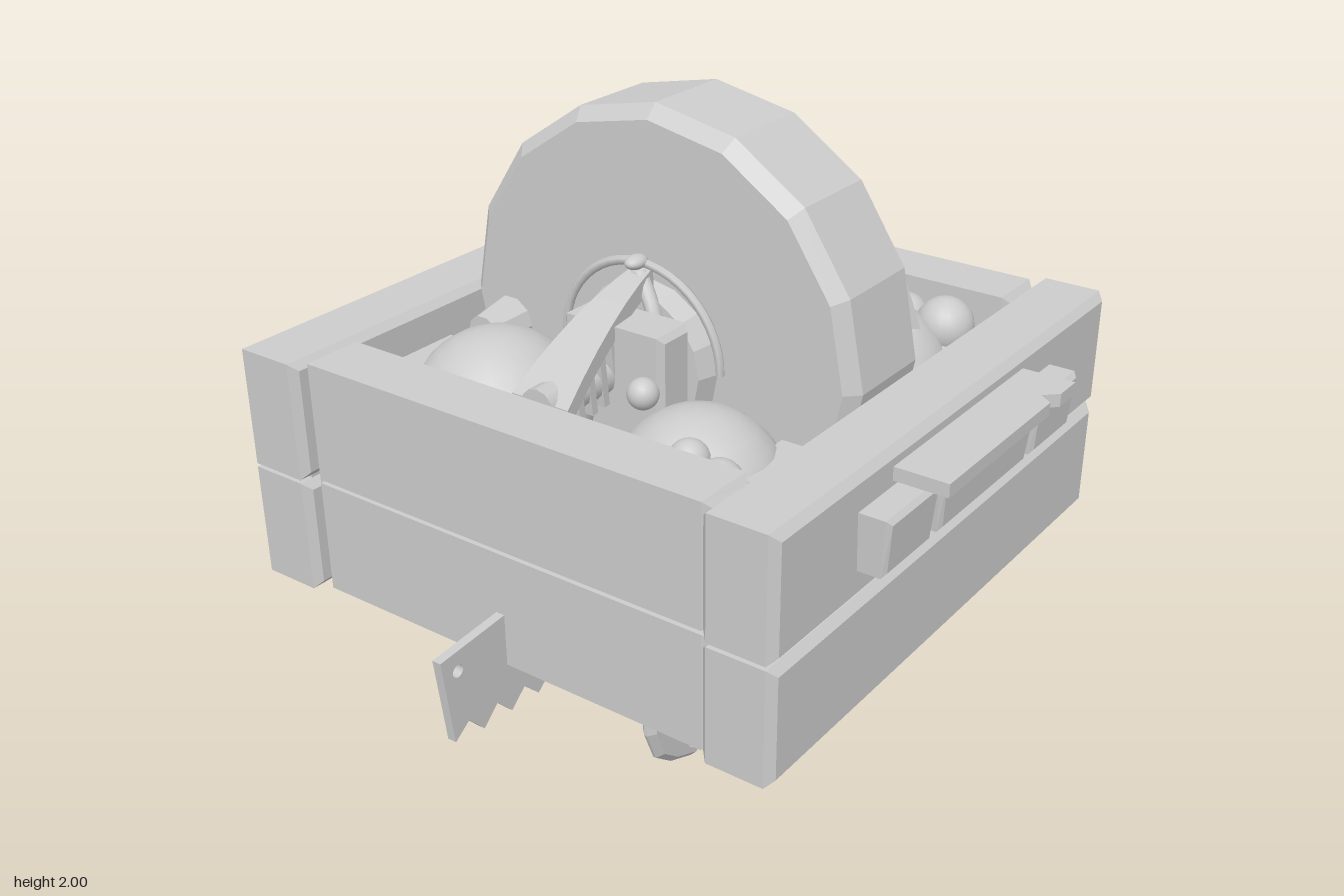
import * as THREE from 'three';

const mat = new THREE.MeshStandardMaterial({ color: 0xcccccc });
const flat = new THREE.MeshStandardMaterial({ color: 0xcccccc, flatShading: true });
const thin = new THREE.MeshStandardMaterial({ color: 0xcccccc, flatShading: true, side: THREE.DoubleSide });
const V = (x, y, z) => new THREE.Vector3(x, y, z);
const MID = -0.03; // z of the wheel and everything in line with it

function add(parent, name, geo, pos = [0, 0, 0], rot = [0, 0, 0], material = mat) {
  const m = new THREE.Mesh(geo, material);
  m.name = name;
  m.position.set(...pos);
  m.rotation.set(...rot);
  parent.add(m);
  return m;
}

function outline(points) {
  return new THREE.Shape(points.map(p => new THREE.Vector2(...p)));
}

// Box with chamfered edges, centred on the origin
function chamferBox(w, h, d, b) {
  const x = w / 2 - b, y = h / 2 - b;
  return new THREE.ExtrudeGeometry(outline([[-x, -y], [x, -y], [x, y], [-x, y]]),
    { depth: d - 2 * b, bevelSize: b, bevelThickness: b, bevelSegments: 1 }).translate(0, 0, b - d / 2);
}

function plate(shape, depth, bevel = 0) {
  return new THREE.ExtrudeGeometry(shape, {
    depth: depth - 2 * bevel, bevelEnabled: bevel > 0, bevelSize: bevel,
    bevelThickness: bevel, bevelOffset: -bevel, bevelSegments: 1, curveSegments: 12
  }).translate(0, 0, bevel - depth / 2);
}

function blob(parent, name, pos, rx, ry = rx, rz = rx) {
  return add(parent, name, new THREE.SphereGeometry(1, 20, 14).scale(rx, ry, rz), pos);
}

function tube(points, r, n = 20) {
  return new THREE.TubeGeometry(new THREE.CatmullRomCurve3(points.map(p => V(...p))), n, r, 10);
}

function buildCrate() {
  const g = new THREE.Group();
  g.name = 'crate';
  for (const [y, h] of [[0.915, 0.31], [1.24, 0.32]]) {
    add(g, 'frontPlank', chamferBox(1.6, h, 0.195, 0.02), [0, y, 0.672], [0, 0, 0], flat);
    add(g, 'backPlank', chamferBox(1.6, h, 0.2, 0.02), [0, y, -0.738], [0, 0, 0], flat);
    for (const s of [-1, 1])
      add(g, 'sidePlank', chamferBox(0.165, h, 1.22, 0.02), [s * 0.685, y, MID], [0, 0, 0], flat);
  }
  // Filling behind the gap between plank rows
  for (const z of [0.67, -0.735]) add(g, 'gapFill', new THREE.BoxGeometry(1.52, 0.06, 0.15), [0, 1.073, z]);
  for (const s of [-1, 1]) add(g, 'gapFill', new THREE.BoxGeometry(0.13, 0.06, 1.22), [s * 0.685, 1.073, MID]);
  add(g, 'floor', new THREE.PlaneGeometry(1.5, 1.5), [0, 0.765, MID], [Math.PI / 2, 0, 0]);

  // Three tapered grip blocks on the front and back
  for (const [z, turn] of [[0.765, 0], [-0.835, Math.PI]]) {
    for (const [x, w] of [[-0.365, 0.225], [0, 0.465], [0.36, 0.225]]) {
      const geo = chamferBox(w, 0.15, 0.12, 0.012);
      const p = geo.attributes.position;
      for (let i = 0; i < p.count; i++)
        if (p.getY(i) < 0) { p.setX(i, p.getX(i) * 0.94); p.setZ(i, p.getZ(i) * 0.82); }
      add(g, 'gripBlock', geo, [turn ? -x : x, 1.235, z + (turn ? -0.015 : 0.025)], [0, turn, 0], flat);
    }
  }
  // Notched ledge above the front grip
  const ledge = outline([[-0.33, 0.75], [0.31, 0.75], [0.31, 0.91], [0.23, 0.91], [0.195, 0.875], [0.17, 0.91], [-0.33, 0.91]]);
  add(g, 'ledge', plate(ledge, 0.035), [0, 1.342, 0], [Math.PI / 2, 0, 0], flat);
  // Straps inside the crate ends
  for (const x of [-0.36, 0.36]) for (const z of [0.51, -0.57])
    add(g, 'innerStrap', new THREE.BoxGeometry(0.22, 0.14, 0.17), [x, 1.22, z]);
  return g;
}

function buildWheel() {
  const g = new THREE.Group();
  g.name = 'grindingWheel';
  const profile = [[0, -0.16], [0.565, -0.16], [0.6, -0.125], [0.6, 0.125], [0.565, 0.16], [0, 0.16]];
  add(g, 'stone', new THREE.LatheGeometry(profile.map(p => new THREE.Vector2(...p)), 16),
    [-0.005, 1.4, MID], [0, 0, -Math.PI / 2], flat);
  add(g, 'axle', new THREE.CylinderGeometry(0.05, 0.05, 1.2, 12), [0, 1.38, MID], [0, 0, Math.PI / 2]);
  for (const s of [-1, 1]) {
    add(g, 'hub', new THREE.CylinderGeometry(0.19, 0.21, 0.06, 16), [s * 0.19, 1.36, MID], [0, 0, -s * Math.PI / 2], flat);
    add(g, 'hoop', new THREE.TorusGeometry(0.24, 0.012, 6, 24, Math.PI), [s * 0.2, 1.38, MID], [0, Math.PI / 2, 0]);
    add(g, 'bearingBlock', chamferBox(0.12, 0.22, 0.3, 0.015), [s * 0.31, 1.41 - (s > 0 ? 0.03 : 0), -0.03 - s * 0.04], [0, 0, 0], flat);
    blob(g, 'axleKnob', [s * 0.215, 1.625, MID], 0.035, 0.018, 0.025);
    // Curved brace, widening as it drops toward the crate wall
    const brace = new THREE.BoxGeometry(0.42, 0.05, 1, 6, 1, 1);
    const p = brace.attributes.position;
    for (let i = 0; i < p.count; i++) {
      const t = p.getX(i) / 0.42 + 0.5, u = s > 0 ? t : 1 - t;
      p.setXYZ(i, s * (0.18 + 0.41 * u), 1.58 - 0.1 * u - 0.11 * u * u + p.getY(i), MID + p.getZ(i) * (0.05 + 0.12 * u));
    }
    add(g, 'brace', brace, [0, 0, 0], [0, 0, 0], flat);
    // Two legs spreading from the knob
    for (const k of [-1, 1])
      add(g, 'braceLeg', tube([[s * 0.2, 1.59, MID], [s * 0.23, 1.52, MID + k * 0.06], [s * 0.25, 1.3, MID + k * 0.13]], 0.02, 8));
  }
  return g;
}

function buildCrank() {
  const g = new THREE.Group();
  g.name = 'crank';
  add(g, 'crankArm', tube([[0.56, 1.41, -0.03], [0.62, 1.42, -0.04], [0.635, 1.415, -0.12], [0.645, 1.41, -0.27],
    [0.68, 1.4, -0.345], [0.76, 1.4, -0.355]], 0.035, 28));
  const grip = [[0, 0], [0.034, 0], [0.045, 0.02], [0.045, 0.07], [0.036, 0.09], [0.044, 0.12], [0.038, 0.16],
    [0.034, 0.18], [0.048, 0.2], [0.048, 0.24], [0.032, 0.25], [0, 0.25]];
  add(g, 'crankGrip', new THREE.LatheGeometry(grip.map(p => new THREE.Vector2(...p)), 14),
    [0.735, 1.4, -0.355], [0, 0, -Math.PI / 2]);
  return g;
}

function buildCargo() {
  const g = new THREE.Group();
  g.name = 'cargo';
  // Round bodies in the four corners, each with small bumps
  const bodies = [
    [[-0.36, 1.17, -0.37], 0.24, [[-0.54, 1.3, -0.43, 0.05], [-0.55, 1.26, -0.5, 0.05]]],
    [[0.37, 1.17, -0.37], 0.23, [[0.48, 1.34, -0.52, 0.08], [0.54, 1.3, -0.42, 0.06], [0.55, 1.26, -0.25, 0.04]]],
    [[-0.4, 1.17, 0.29], 0.22, [[-0.52, 1.33, 0.35, 0.05], [-0.53, 1.3, 0.44, 0.06], [-0.39, 1.38, 0.12, 0.04]]],
    [[0.36, 1.17, 0.29], 0.24, [[0.52, 1.32, 0.44, 0.08], [0.55, 1.3, 0.3, 0.07]]]
  ];
  for (const [pos, r, bumps] of bodies) {
    blob(g, 'roundBody', pos, r);
    for (const [x, y, z, b] of bumps) blob(g, 'bump', [x, y, z], b);
  }
  add(g, 'stub', new THREE.CylinderGeometry(0.05, 0.07, 0.12, 10), [-0.22, 1.34, -0.49], [0, 0, Math.PI / 2], flat);
  // Faceted lump and bar in the front corner
  add(g, 'lump', new THREE.CylinderGeometry(0.13, 0.2, 0.2, 6), [0.33, 1.42, 0.26], [0, 0.3, 0], flat);
  add(g, 'bar', new THREE.BoxGeometry(0.36, 0.04, 0.06), [0.33, 1.5, 0.23], [0, 0.76, 0.05], flat);
  // Comb of thin slats beside the left brace
  for (let i = 0; i < 4; i++)
    add(g, 'slat', new THREE.BoxGeometry(0.02, 0.13 + i * 0.015, 0.1), [-0.5 + i * 0.045, 1.38 + i * 0.012, MID], [0, 0, 0.1]);
  return g;
}

function buildSaw() {
  const pts = [[-0.4, 0.93], [-0.99, 0.885], [-0.96, 0.645]];
  for (let i = 0; i < 6; i++) pts.push([-0.91 + i * 0.1, 0.68 - i * 0.008], [-0.86 + i * 0.1, 0.625 - i * 0.005]);
  const blade = outline(pts);
  blade.holes.push(new THREE.Path().absarc(-0.935, 0.835, 0.017, 0, Math.PI * 2, true));
  const g = new THREE.Group();
  g.name = 'saw';
  add(g, 'sawBlade', plate(blade, 0.025), [0, 0, MID], [0, 0, 0], flat);
  return g;
}

function buildHangingFigure() {
  const g = new THREE.Group();
  g.name = 'hangingFigure';
  blob(g, 'belly', [0, 0.74, MID], 0.4, 0.31, 0.34);
  add(g, 'neck', new THREE.CylinderGeometry(0.19, 0.035, 0.24, 12), [0, 0.42, MID], [0, 0, 0], flat);
  // Open spouts at the front and back of the belly
  const spout = [[0.04, 0], [0.05, 0.15], [0.065, 0.15], [0.055, 0]].map(p => new THREE.Vector2(...p));
  for (const [z, s] of [[0.29, 1], [-0.35, -1]])
    add(g, 'spout', new THREE.LatheGeometry(spout, 14), [0, 0.73, z], [s * Math.PI / 2, 0, 0], thin);

  // Chipped shield behind the face
  const shield = outline([[-0.205, 0.47], [-0.21, 0.2], [-0.17, 0.1], [-0.1, 0.045], [0, 0.005], [0.08, 0.04],
    [0.12, 0.09], [0.115, 0.135], [0.15, 0.12], [0.19, 0.19], [0.205, 0.3], [0.205, 0.47]]);
  add(g, 'shield', plate(shield, 0.05, 0.02), [0, 0, MID], [0, 0, 0], flat);

  // Face on both sides of the shield: brow, eyes and nose
  const brow = outline([[-0.13, 0.36], [0, 0.22], [0.13, 0.36], [0.11, 0.27], [0, 0.15], [-0.11, 0.27]]);
  for (const s of [-1, 1]) {
    add(g, 'brow', plate(brow, 0.03), [0, 0, MID + s * 0.035], [0, 0, 0], flat);
    for (const x of [-0.07, 0.07]) blob(g, 'eye', [x, 0.19, MID + s * 0.03], 0.033);
    add(g, 'nose', new THREE.CylinderGeometry(0.022, 0.04, 0.13, 8), [0, 0.135, MID + s * 0.03], [0, 0, 0], flat);
  }

  // Curved straps running from the shield up around the belly
  for (const s of [-1, 1]) {
    const strap = new THREE.Shape();
    strap.moveTo(0.42, 0.77);
    strap.quadraticCurveTo(0.4, 0.52, 0.19, 0.32);
    strap.lineTo(0.19, 0.4);
    strap.quadraticCurveTo(0.34, 0.53, 0.36, 0.77);
    const geo = plate(strap, 0.09, 0.01);
    const p = geo.attributes.position;
    for (let i = 0; i < p.count; i++) p.setZ(i, p.getZ(i) - 0.12 * (p.getY(i) - 0.3));
    add(g, 'strap', geo, [0, 0, -0.02], [0, s < 0 ? Math.PI : 0, 0], thin);
    // Arm
    add(g, 'arm', tube([[s * 0.3, 0.68, -0.12], [s * 0.4, 0.715, -0.16], [s * 0.5, 0.72, -0.12], [s * 0.53, 0.72, -0.03]], 0.032));
    blob(g, 'hand', [s * 0.525, 0.72, -0.02], 0.035);
  }
  blob(g, 'fist', [0.6, 0.735, -0.1], 0.08, 0.05, 0.06);
  blob(g, 'fist', [0.64, 0.735, 0], 0.08, 0.05, 0.06);
  return g;
}

export function createModel() {
  const model = new THREE.Group();
  model.name = 'grindstoneCrate';
  model.add(buildCrate(), buildWheel(), buildCrank(), buildCargo(), buildSaw(), buildHangingFigure());
  return model;
}
